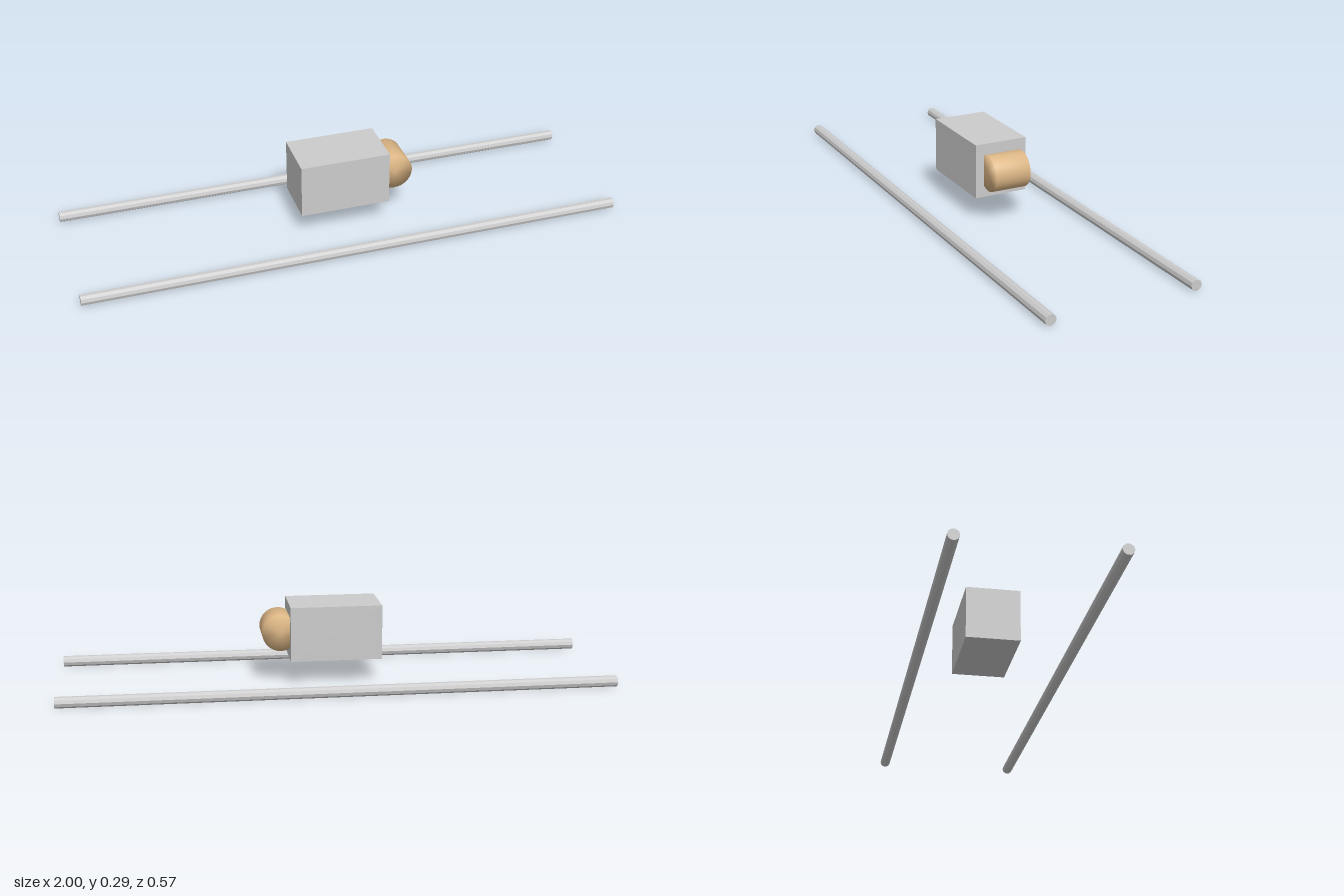
import * as THREE from 'three';
import { mergeVertices } from 'three/addons/utils/BufferGeometryUtils.js';

export function createModel() {
  const model = new THREE.Group();
  const grey = new THREE.MeshStandardMaterial({ color: 0xcccccc, flatShading: true });
  const tan = new THREE.MeshStandardMaterial({ color: 0xdeb887 });

  const add = (name, geometry, material, x, y, z) => {
    const mesh = new THREE.Mesh(geometry, material);
    mesh.name = name;
    mesh.position.set(x, y, z);
    model.add(mesh);
  };

  const unit = 1 / 15;
  const bodyY = 2.8 * unit;

  // Box body
  add('body', new THREE.BoxGeometry(5 * unit, 3 * unit, 3 * unit), grey, 0, bodyY, 0);

  // Drum head lying along z, its normals blended softly over the rims
  let drum = new THREE.CylinderGeometry(unit, unit, 2 * unit, 32).rotateX(Math.PI / 2);
  drum.deleteAttribute('uv');
  drum.deleteAttribute('normal');
  drum = mergeVertices(drum);
  drum.computeVertexNormals();
  add('head', drum, tan, 3 * unit, bodyY, 0);

  // Two long ten-sided rails
  const rail = new THREE.CylinderGeometry(0.02, 0.02, 2, 10).rotateZ(Math.PI / 2);
  for (const side of [1, -1]) {
    add(side > 0 ? 'frontRail' : 'backRail', rail, grey, 0, 0.019, side * 4 * unit);
  }
  return model;
}
